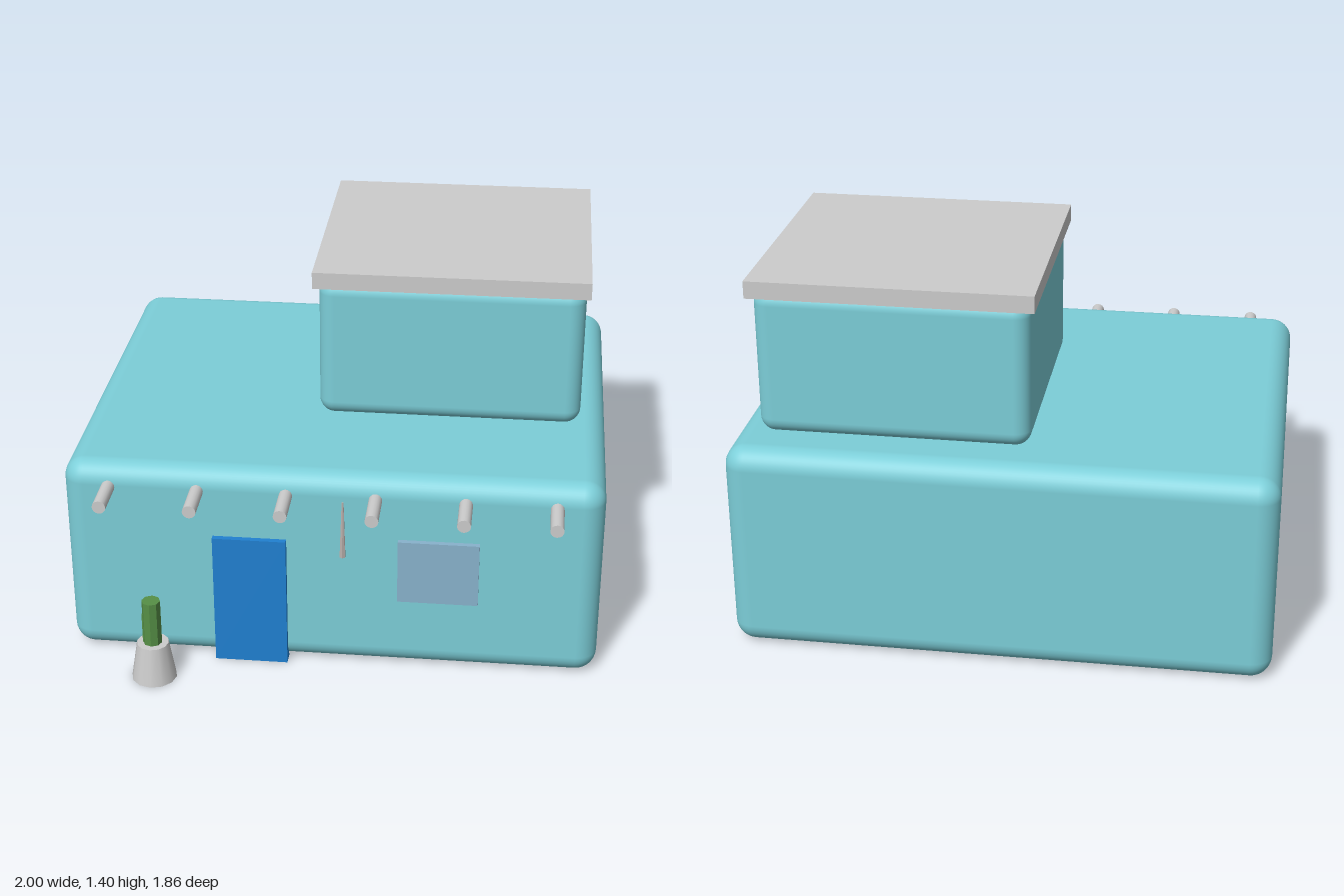
import * as THREE from 'three';
import { RoundedBoxGeometry } from 'three/addons/geometries/RoundedBoxGeometry.js';

const material = (name, color, flatShading = false) => {
  const m = new THREE.MeshStandardMaterial({ color, flatShading });
  m.name = name;
  return m;
};

export function createModel() {
  const house = new THREE.Group();
  house.name = 'house';

  const wall = material('turquoise wall', 0x7cced8);
  const stone = material('pale grey', 0xcccccc);
  const doorBlue = material('door blue', 0x2080d0);
  const glass = material('window blue grey', 0x88b2cc);
  const green = material('cactus green', 0x568f46, true);
  const wood = material('brownish grey', 0xb8aeaa, true);

  const add = (name, geometry, mat, x, y, z) => {
    const mesh = new THREE.Mesh(geometry, mat);
    mesh.name = name;
    mesh.position.set(x, y, z);
    house.add(mesh);
    return mesh;
  };

  // Places a box between its lower and upper corners; r rounds the edges
  const block = (name, mat, [x0, y0, z0], [x1, y1, z1], r = 0) => {
    const size = [x1 - x0, y1 - y0, z1 - z0];
    const geometry = r ? new RoundedBoxGeometry(...size, 5, r) : new THREE.BoxGeometry(...size);
    return add(name, geometry, mat, (x0 + x1) / 2, (y0 + y1) / 2, (z0 + z1) / 2);
  };

  // Two rounded storeys and the flat roof slab
  block('groundFloor', wall, [-1, 0, -0.93], [1, 0.8, 0.69], 0.08);
  block('upperFloor', wall, [-0.1, 0.8, -0.77], [0.9, 1.36, 0.2], 0.06);
  block('roofSlab', stone, [-0.12, 1.335, -0.79], [0.915, 1.4, 0.215]);

  // Door and window on the front wall
  block('door', doorBlue, [-0.44, 0, 0.66], [-0.165, 0.53, 0.712]);
  block('window', glass, [0.25, 0.3, 0.66], [0.55, 0.555, 0.71]);

  // Row of roof beams poking out of the front
  const beam = new THREE.CylinderGeometry(0.025, 0.025, 0.2, 16).rotateX(Math.PI / 2);
  for (let i = 0; i < 6; i++) add('beam', beam, stone, -0.825 + i * 0.33, 0.715, 0.745);

  // Slender hanging ornament beside the window
  const ornament = new THREE.CylinderGeometry(0.004, 0.012, 0.225, 6);
  add('hangingOrnament', ornament, wood, 0.048, 0.602, 0.72).rotation.x = -0.03;

  // Potted cactus
  add('pot', new THREE.CylinderGeometry(0.06, 0.085, 0.15, 12), stone, -0.652, 0.075, 0.845);
  add('cactus', new THREE.CylinderGeometry(0.035, 0.035, 0.19, 8), green, -0.652, 0.235, 0.845);
  add('cactusRib', new THREE.CylinderGeometry(0.01, 0.01, 0.13, 6), green, -0.68, 0.205, 0.845);

  return house;
}
